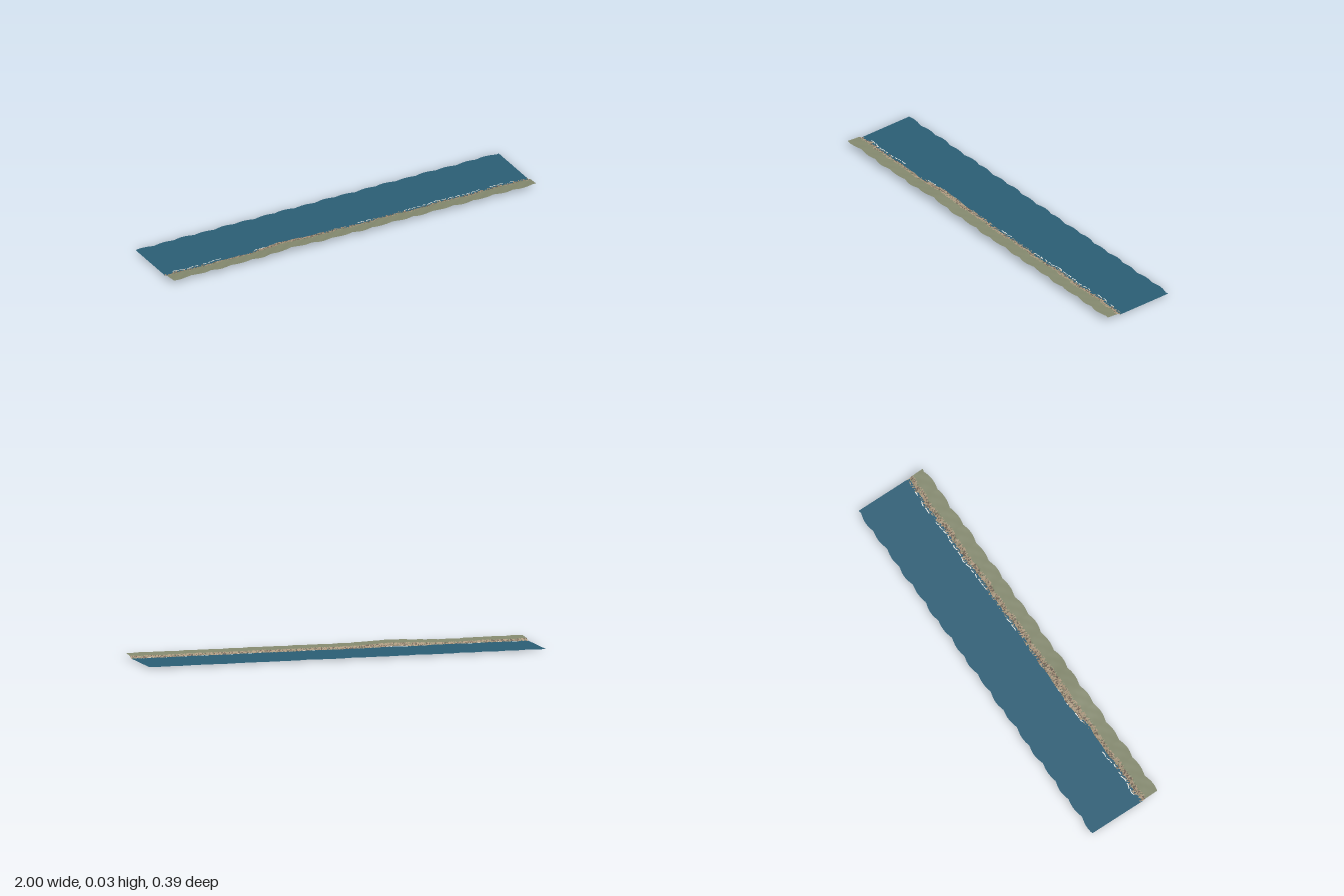
import * as THREE from 'three';

const mat = (name, color) => {
  const m = new THREE.MeshStandardMaterial({ color, side: THREE.DoubleSide });
  m.name = name;
  return m;
};

// small seeded random
let seed = 7;
const rnd = () => {
  seed = (seed * 16807) % 2147483647;
  return seed / 2147483647;
};

// scalloped outer edge and the gentle lift of the shore along x
const scallop = (x) => 0.009 * Math.abs(Math.sin((x * Math.PI) / 0.111 + 0.4)) + 0.002 * Math.sin(x * 23);
const lift = (x) => 0.007 * Math.exp(-(((x + 0.33) / 0.13) ** 2)) - 0.002 * Math.exp(-(((x + 0.62) / 0.12) ** 2));
const shore = (x) => 0.003 * Math.sin(x * 21) + 0.002 * Math.sin(x * 57 + 1);

// sheet over x from x0 to x1; point(x, row) gives [y, z]; pick(row) gives a material index
function sheet(name, x0, x1, cols, rows, point, materials, pick = () => 0) {
  const pos = [];
  for (let r = 0; r <= rows; r++) {
    for (let c = 0; c <= cols; c++) {
      const x = x0 + ((x1 - x0) * c) / cols;
      const [y, z] = point(x, r);
      pos.push(x, y, z);
    }
  }
  const buckets = materials.map(() => []);
  for (let r = 0; r < rows; r++) {
    for (let c = 0; c < cols; c++) {
      const a = r * (cols + 1) + c, b = a + cols + 1;
      buckets[pick(r)].push(a, b, a + 1, a + 1, b, b + 1);
    }
  }
  const geo = new THREE.BufferGeometry();
  geo.setAttribute('position', new THREE.Float32BufferAttribute(pos, 3));
  geo.setIndex(buckets.flat());
  let start = 0;
  buckets.forEach((b, i) => {
    geo.addGroup(start, b.length, i);
    start += b.length;
  });
  geo.computeVertexNormals();
  const mesh = new THREE.Mesh(geo, materials);
  mesh.name = name;
  return mesh;
}

export function createModel() {
  seed = 7;
  const group = new THREE.Group();
  group.name = 'coastStrip';
  const water = mat('sea blue', 0x2b5f76);
  const grass = mat('dull green', 0x868b70);
  const sand = mat('sand', 0xb09c82);
  const rock = mat('rock brown', 0x75675a);
  const foam = mat('foam white', 0xf0f1ec);

  // flat water with a scalloped far edge
  group.add(sheet('water', -1, 1, 360, 1,
    (x, r) => [0.006, r ? 0.103 + shore(x) : -0.185 - scallop(x)], [water]));

  // rough bank: [z, y] from the water line up to the grass
  const bank = [[0.088, 0.003], [0.094, 0.006], [0.1, 0.0055], [0.106, 0.008], [0.113, 0.011], [0.12, 0.0145], [0.127, 0.0155]];
  const last = bank.length - 1;
  group.add(sheet('rockyBank', -1, 1, 420, last, (x, r) => {
    const [z, y] = bank[r];
    const rough = r === last ? 0 : 1;
    return [
      Math.max(0, y + lift(x) + rough * (rnd() - 0.5) * 0.004),
      z + shore(x) + rough * (rnd() - 0.5) * 0.004,
    ];
  }, [sand, rock, grass], (r) => {
    const t = rnd();
    if (r >= last - 1) return t < 0.65 ? 2 : 0;
    return t < 0.62 ? 0 : t < 0.92 ? 1 : 2;
  }));

  // grassy land rising to the scalloped near edge
  group.add(sheet('grass', -1, 1, 420, 4, (x, r) => {
    const t = r / 4;
    const inner = 0.127 + shore(x), outer = 0.184 + scallop(x);
    const bumpy = r ? Math.sin(x * 80 + r * 2) * 0.0006 : 0;
    return [0.0155 + 0.005 * t + lift(x) + bumpy, inner + (outer - inner) * t];
  }, [grass]));

  // broken line of foam along the shore
  const foamLine = new THREE.Group();
  foamLine.name = 'foam';
  for (let x = -0.99; x < 0.97;) {
    const length = 0.012 + rnd() * 0.025;
    const busy = x < -0.7 || x > 0.3;
    if (rnd() < (busy ? 0.85 : 0.3)) {
      const wave = rnd() * 6;
      foamLine.add(sheet('foamPatch', x, x + length, 6, 1,
        (u, r) => [0.0075, 0.087 + shore(u) + 0.002 * Math.sin(u * 140 + wave) + r * 0.005], [foam]));
    }
    x += length + 0.004 + rnd() * 0.008;
  }
  group.add(foamLine);
  return group;
}
